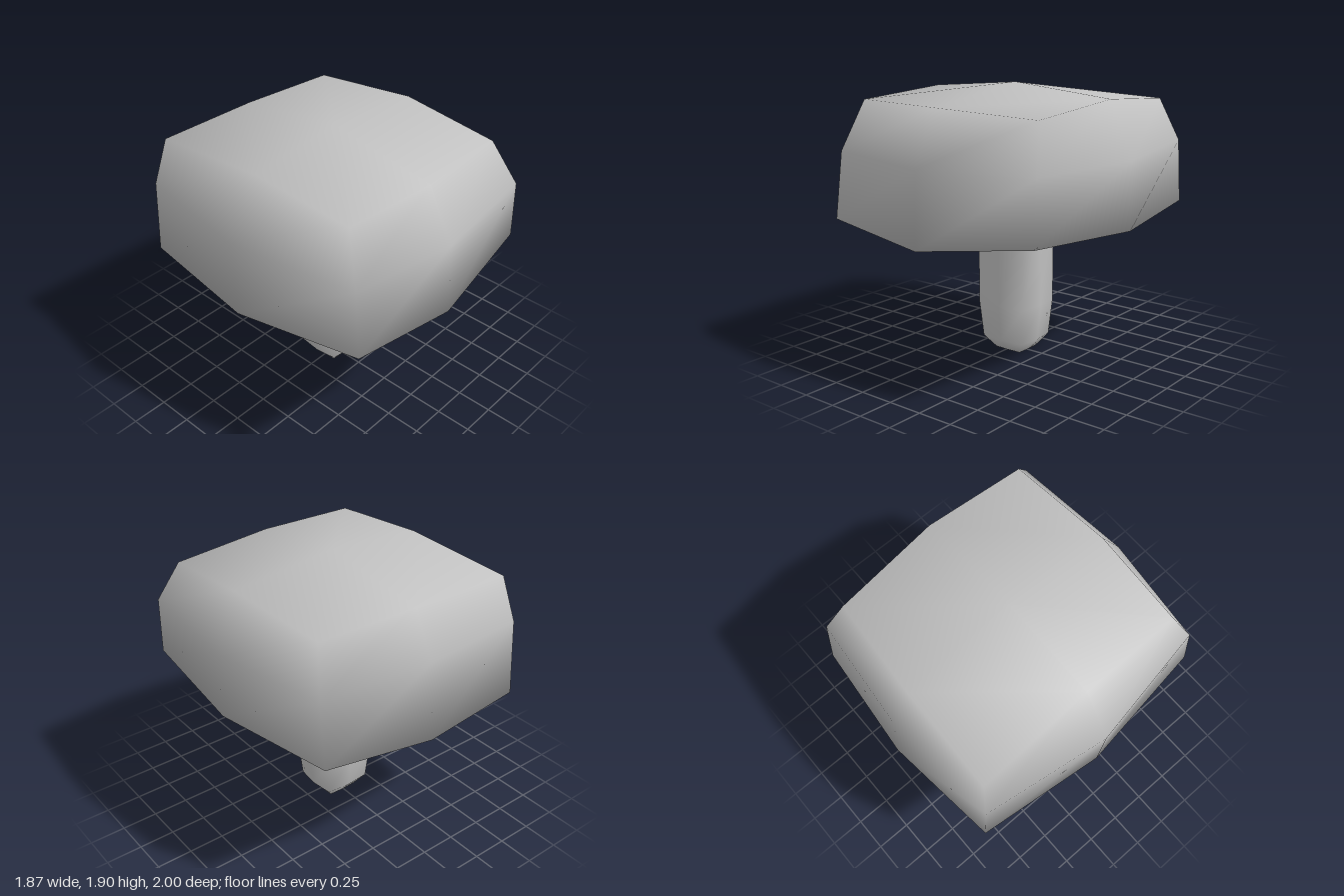
import * as THREE from 'three';

// Closed smooth body from rings of eight points (front, then counter-clockwise seen from above).
function ringBody(name, rings, bottomCentre, topCentre, material) {
  const points = [...rings.flat(), bottomCentre, topCentre];
  const last = (rings.length - 1) * 8;
  const bottom = rings.length * 8;
  const top = bottom + 1;
  const index = [];
  for (let r = 0; r < last; r += 8) {
    for (let i = 0; i < 8; i++) {
      const j = (i + 1) % 8;
      index.push(r + i, r + j, r + 8 + j, r + i, r + 8 + j, r + 8 + i);
    }
  }
  // Each end is four quads, all split along the same direction
  const splitAcross = (a, c, b, centre) => index.push(a, c, b, a, b, centre);
  const splitToCorner = (a, c, b, centre) => index.push(a, c, centre, c, b, centre);
  for (let i = 0; i < 8; i += 2) {
    const c = i + 1;
    const j = (i + 2) % 8;
    const frontLeftOrBackRight = i % 4 === 0;
    const [topSplit, bottomSplit] = frontLeftOrBackRight
      ? [splitAcross, splitToCorner] : [splitToCorner, splitAcross];
    topSplit(last + i, last + c, last + j, top);
    bottomSplit(j, c, i, bottom);
  }
  const geometry = new THREE.BufferGeometry();
  geometry.setAttribute('position', new THREE.Float32BufferAttribute(points.flat(), 3));
  geometry.setIndex(index);
  geometry.computeVertexNormals();
  const mesh = new THREE.Mesh(geometry, material);
  mesh.name = name;
  return mesh;
}

// Regular ring, slightly flattened front to back: half width at the side middles and at the corners
function stemRing(y, middle, corner) {
  const ring = [];
  for (let i = 0; i < 8; i++) {
    const a = (i * Math.PI) / 4;
    const r = i % 2 ? corner * Math.SQRT2 : middle;
    ring.push([0.01 + r * Math.sin(a), y, -0.01 + 0.92 * r * Math.cos(a)]);
  }
  return ring;
}

export function createModel() {
  const group = new THREE.Group();
  group.name = 'mushroom';
  const grey = new THREE.MeshStandardMaterial({ color: 0xc0c0c0 });
  grey.name = 'light grey';

  // Uneven cap: rim, widest ring and shoulder
  const rim = [
    [0, 0.915, 1], [0.85, 1.04, 0.9], [0.93, 0.99, -0.02], [0.8, 1.03, -0.93],
    [0, 0.94, -1], [-0.82, 0.93, -0.91], [-0.92, 0.9, 0], [-0.8, 1.0, 0.93],
  ];
  const belly = [
    [0, 1.43, 0.98], [0.85, 1.45, 0.89], [0.935, 1.45, -0.02], [0.8, 1.48, -0.88],
    [0, 1.48, -0.95], [-0.81, 1.47, -0.88], [-0.935, 1.46, 0], [-0.78, 1.46, 0.88],
  ];
  const shoulder = [
    [0, 1.79, 0.79], [0.75, 1.76, 0.73], [0.775, 1.83, 0], [0.71, 1.78, -0.75],
    [0, 1.8, -0.8], [-0.73, 1.8, -0.82], [-0.705, 1.85, 0], [-0.69, 1.8, 0.74],
  ];
  // The underside is hollowed towards the stem
  group.add(ringBody('cap', [rim, belly, shoulder], [0, 1.4, 0], [0.01, 1.905, 0], grey));

  // Stem with chamfered ends
  const stemRings = [
    stemRing(0, 0.11, 0.105),
    stemRing(0.09, 0.19, 0.172),
    stemRing(0.35, 0.22, 0.194),
    stemRing(1.03, 0.22, 0.194),
    stemRing(1.28, 0.19, 0.172),
    stemRing(1.39, 0.11, 0.105),
  ];
  group.add(ringBody('stem', stemRings, [0.01, 0, -0.01], [0.01, 1.39, -0.01], grey));
  return group;
}
